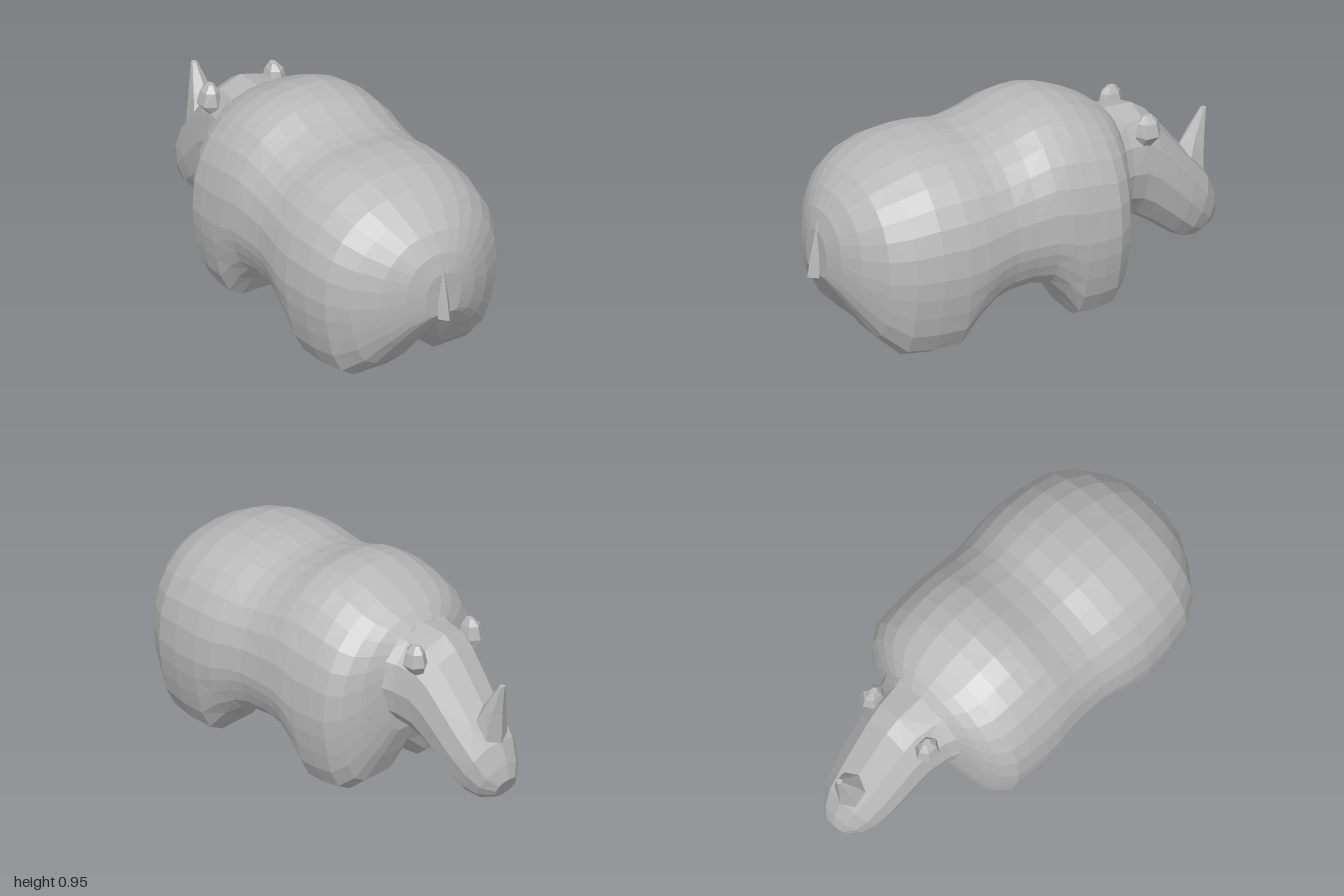
import * as THREE from 'three';

const hide = new THREE.MeshStandardMaterial({ color: 0xb8b8b8, flatShading: true });
hide.name = 'grey hide';

// Skin a list of rings (arrays of [x, y, z]) and close both ends.
function loft(name, rings) {
  const pos = [];
  const tri = (a, b, c) => pos.push(...a, ...b, ...c);
  const n = rings[0].length;
  const centre = (ring) => [0, 1, 2].map((k) => ring.reduce((s, p) => s + p[k], 0) / n);
  for (let r = 0; r < rings.length - 1; r++) {
    for (let i = 0; i < n; i++) {
      const j = (i + 1) % n;
      const a = rings[r][i], b = rings[r][j], c = rings[r + 1][j], d = rings[r + 1][i];
      // alternate the diagonals for an irregular faceted hide
      if ((r + i) % 2) { tri(a, b, d); tri(b, c, d); }
      else { tri(a, b, c); tri(a, c, d); }
    }
  }
  const first = rings[0], last = rings[rings.length - 1];
  const c0 = centre(first), c1 = centre(last);
  for (let i = 0; i < n; i++) {
    const j = (i + 1) % n;
    tri(c0, first[j], first[i]);
    tri(c1, last[i], last[j]);
  }
  const geo = new THREE.BufferGeometry();
  geo.setAttribute('position', new THREE.Float32BufferAttribute(pos, 3));
  geo.computeVertexNormals();
  const mesh = new THREE.Mesh(geo, hide);
  mesh.name = name;
  return mesh;
}

// Body cross-section: rounded back, full flanks, two stubby legs with a notch between.
const LOWER = [[1, 0], [0.985, 0.22], [0.95, 0.45], [0.9, 0.68], [0.8, 0.9], [0.65, 1], [0.27, 1]];
function bodyRing([z, top, bottom, w, mid, notch]) {
  const half = [];
  for (let i = 1; i < 7; i++) {
    const t = (i / 7) * Math.PI / 2;
    half.push([w * Math.sin(t) ** 0.88, mid + (top - mid) * Math.cos(t) ** 0.88, z]);
  }
  for (const [x, y] of LOWER) half.push([w * x, mid + (bottom - mid) * y, z]);
  const mirrored = half.map(([x, y, zz]) => [-x, y, zz]).reverse();
  return [[0, top, z], ...half, [0, bottom + notch, z], ...mirrored];
}

// Head cross-section: a tilted oval between a brow point and a jaw point.
function headRing([zt, yt, zb, yb, w]) {
  const ring = [];
  for (let i = 0; i < 12; i++) {
    const t = (i / 12) * Math.PI * 2;
    const k = (1 - Math.cos(t)) / 2;
    const s = Math.sin(t);
    ring.push([w * Math.sign(s) * Math.abs(s) ** 0.85, yt + (yb - yt) * k, zt + (zb - zt) * k]);
  }
  return ring;
}

// Upright ring for horn, ears and tail.
function flatRing(x, y, z, rx, rz, n, tilt = 0) {
  return Array.from({ length: n }, (_, i) => {
    const t = (i / n) * Math.PI * 2;
    const dz = rz * Math.cos(t);
    return [x + rx * Math.sin(t), y + dz * tilt, z + dz];
  });
}

export function createModel() {
  const model = new THREE.Group();
  model.name = 'rhinoceros';

  // z, top, bottom, half width, widest height, notch between legs
  const body = [
    [0.955, 0.54, 0.34, 0.09, 0.43, 0],
    [0.93, 0.63, 0.3, 0.18, 0.44, 0],
    [0.88, 0.71, 0.22, 0.28, 0.42, 0.03],
    [0.8, 0.785, 0.1, 0.385, 0.41, 0.07],
    [0.7, 0.84, 0.01, 0.45, 0.41, 0.1],
    [0.58, 0.88, 0.0, 0.475, 0.41, 0.1],
    [0.45, 0.89, 0.005, 0.485, 0.41, 0.12],
    [0.36, 0.885, 0.12, 0.48, 0.42, 0.05],
    [0.27, 0.87, 0.19, 0.465, 0.44, 0],
    [0.2, 0.873, 0.21, 0.455, 0.45, 0],
    [0.1, 0.9, 0.22, 0.455, 0.45, 0],
    [0.0, 0.942, 0.2, 0.46, 0.45, 0],
    [-0.07, 0.952, 0.12, 0.465, 0.43, 0.06],
    [-0.14, 0.955, 0.01, 0.465, 0.41, 0.13],
    [-0.23, 0.935, 0.005, 0.46, 0.41, 0.12],
    [-0.31, 0.9, 0.015, 0.45, 0.41, 0.11],
    [-0.375, 0.865, 0.07, 0.405, 0.43, 0.1],
    [-0.42, 0.835, 0.18, 0.33, 0.47, 0.06],
    [-0.465, 0.79, 0.31, 0.22, 0.54, 0],
  ];
  model.add(loft('body', body.map(bodyRing)));

  // brow z, brow y, jaw z, jaw y, half width
  const head = [
    [-0.4, 0.8, -0.4, 0.34, 0.27],
    [-0.5, 0.795, -0.5, 0.31, 0.22],
    [-0.6, 0.79, -0.56, 0.28, 0.2],
    [-0.67, 0.74, -0.62, 0.24, 0.19],
    [-0.76, 0.63, -0.68, 0.2, 0.18],
    [-0.86, 0.505, -0.75, 0.145, 0.165],
    [-0.945, 0.4, -0.8, 0.11, 0.145],
    [-0.985, 0.3, -0.87, 0.1, 0.11],
    [-1.0, 0.23, -0.95, 0.13, 0.06],
  ];
  model.add(loft('head', head.map(headRing)));

  // Horn rising from the sloping snout
  model.add(loft('horn', [
    flatRing(0, 0.45, -0.89, 0.075, 0.06, 6, 1.2),
    flatRing(0, 0.56, -0.915, 0.05, 0.04, 6, 0.6),
    flatRing(0, 0.68, -0.955, 0.014, 0.014, 6),
  ]));

  // Small knobbly ears
  for (const side of [-1, 1]) {
    model.add(loft(side > 0 ? 'leftEar' : 'rightEar', [
      flatRing(side * 0.145, 0.64, -0.58, 0.02, 0.03, 6),
      flatRing(side * 0.17, 0.71, -0.59, 0.054, 0.06, 6),
      flatRing(side * 0.17, 0.77, -0.59, 0.038, 0.048, 6),
      flatRing(side * 0.165, 0.8, -0.59, 0.015, 0.022, 6),
    ]));
  }

  // Short pointed tail lying against the rump
  model.add(loft('tail', [
    flatRing(0, 0.325, 0.96, 0.032, 0.04, 4),
    flatRing(0, 0.42, 0.95, 0.03, 0.035, 4),
    flatRing(0, 0.58, 0.94, 0.004, 0.012, 4),
  ]));

  return model;
}
